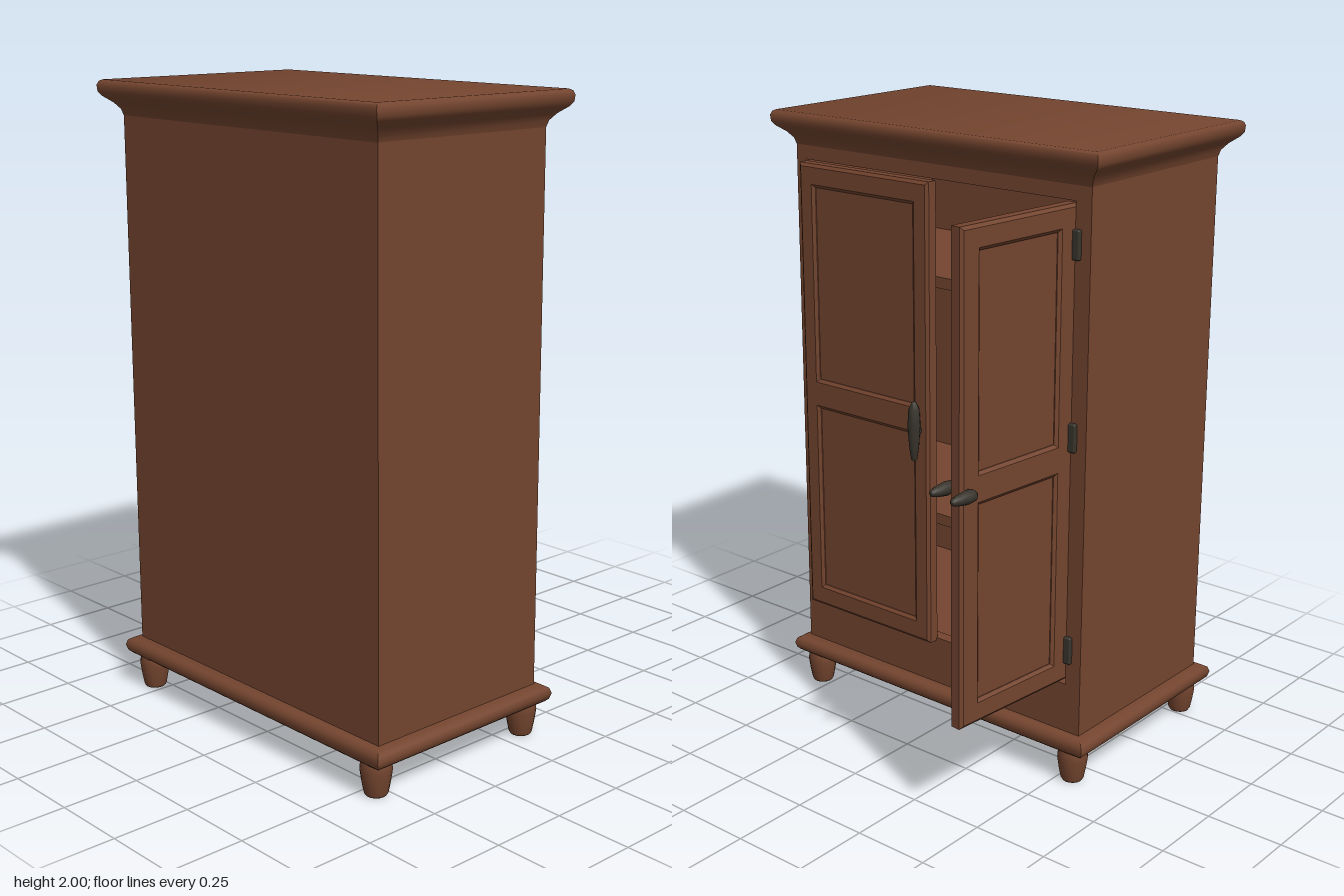
import * as THREE from 'three';
import { toCreasedNormals } from 'three/addons/utils/BufferGeometryUtils.js';
import { RoundedBoxGeometry } from 'three/addons/geometries/RoundedBoxGeometry.js';

const wood = new THREE.MeshStandardMaterial({ color: 0x74452f });
wood.name = 'brown wood';
const iron = new THREE.MeshStandardMaterial({ color: 0x38342c });
iron.name = 'dark iron';

function add(parent, name, geometry, material, x = 0, y = 0, z = 0) {
  const mesh = new THREE.Mesh(geometry, material);
  mesh.name = name;
  mesh.position.set(x, y, z);
  parent.add(mesh);
  return mesh;
}

// Board given by its extents on each axis
function board(parent, name, [x0, x1], [y0, y1], [z0, z1]) {
  return add(parent, name, new THREE.BoxGeometry(x1 - x0, y1 - y0, z1 - z0), wood,
    (x0 + x1) / 2, (y0 + y1) / 2, (z0 + z1) / 2);
}

// Rectangular moulding: profile of [y, outward offset] swept around the cabinet
function moulding(profile) {
  const pos = [], idx = [];
  profile.forEach(([y, o]) => {
    pos.push(-0.56 - o, y, 0.58 + o, 0.10 + o, y, 0.58 + o, 0.10 + o, y, -0.58 - o, -0.56 - o, y, -0.58 - o);
  });
  for (let i = 0; i < profile.length - 1; i++) {
    for (let k = 0; k < 4; k++) {
      const a = i * 4 + k, b = i * 4 + (k + 1) % 4;
      idx.push(a, b, b + 4, a, b + 4, a + 4);
    }
  }
  const t = (profile.length - 1) * 4;
  idx.push(0, 2, 1, 0, 3, 2, t, t + 1, t + 2, t, t + 2, t + 3);
  const g = new THREE.BufferGeometry();
  g.setAttribute('position', new THREE.Float32BufferAttribute(pos, 3));
  g.setIndex(idx);
  return toCreasedNormals(g, 0.75);
}

function rectangle(PathType, x0, x1, y0, y1) {
  return new PathType([[x0, y0], [x1, y0], [x1, y1], [x0, y1]].map(p => new THREE.Vector2(...p)));
}

// Two-panel door, hinged at local x = 0, centred on local z = 0
function door(name, w, y0, y1, stile) {
  const group = new THREE.Group();
  group.name = name;
  const frame = rectangle(THREE.Shape, 0, w, y0, y1);
  const panels = [[y0 + 0.075, 1.03], [1.13, y1 - 0.075]];
  panels.forEach(([a, b]) => frame.holes.push(rectangle(THREE.Path, stile, w - stile, a, b)));
  const bevel = 0.008;
  const g = new THREE.ExtrudeGeometry(frame, {
    depth: 0.048 - 2 * bevel, bevelEnabled: true, bevelThickness: bevel,
    bevelSize: 0.01, bevelOffset: -0.01, bevelSegments: 1
  });
  g.translate(0, 0, bevel - 0.024);
  add(group, 'doorFrame', g, wood);
  panels.forEach(([a, b]) => add(group, 'doorPanel',
    new THREE.BoxGeometry(w - 2 * stile + 0.03, b - a + 0.03, 0.026), wood, w / 2, (a + b) / 2, 0));
  return group;
}

// Tapered grip on a short stem, standing out along local z
function handle(parent, name, x, y, side, length, horizontal) {
  const group = new THREE.Group();
  group.name = name;
  const profile = [[0.001, -0.5], [0.010, -0.46], [0.016, -0.25], [0.021, 0.1], [0.018, 0.36], [0.008, 0.48], [0.001, 0.5]]
    .map(([r, t]) => new THREE.Vector2(r, t * length));
  const grip = add(group, 'grip', new THREE.LatheGeometry(profile, 10), iron, 0, 0, 0.046 * side);
  if (horizontal) {
    grip.rotation.z = Math.PI / 2;
    grip.position.x = 0.035;
  }
  const stem = add(group, 'stem', new THREE.CylinderGeometry(0.012, 0.014, 0.04, 10), iron, 0, 0, 0.03 * side);
  stem.rotation.x = Math.PI / 2;
  group.position.set(x, y, 0);
  parent.add(group);
}

export function createModel() {
  const model = new THREE.Group();
  model.name = 'wardrobe';

  // Carcass
  for (const s of [-1, 1]) {
    board(model, 'sideWall', [-0.56, 0.10], [0.15, 1.92], s < 0 ? [-0.58, -0.54] : [0.54, 0.58]);
  }
  board(model, 'backWall', [-0.56, -0.52], [0.15, 1.92], [-0.54, 0.54]);
  board(model, 'cabinetFloor', [-0.52, 0.08], [0.28, 0.32], [-0.54, 0.54]);
  board(model, 'cabinetCeiling', [-0.52, 0.08], [1.85, 1.89], [-0.54, 0.54]);
  board(model, 'bottomRail', [0.06, 0.10], [0.15, 0.33], [-0.54, 0.54]);
  board(model, 'topRail', [0.06, 0.10], [1.845, 1.92], [-0.54, 0.54]);
  board(model, 'hingeStile', [0.06, 0.10], [0.33, 1.845], [-0.54, -0.525]);

  // Shelves with supporting battens
  for (const y of [0.715, 1.505]) {
    board(model, 'shelf', [-0.52, 0.03], [y - 0.018, y + 0.018], [-0.54, 0.54]);
  }
  board(model, 'shelfBatten', [-0.52, -0.49], [1.44, 1.487], [-0.54, 0.54]);

  // Crown and base mouldings
  add(model, 'crown', moulding([[1.89, 0.0], [1.91, 0.006], [1.93, 0.022], [1.95, 0.047],
    [1.963, 0.056], [1.983, 0.058], [1.995, 0.053], [2.0, 0.044]]), wood);
  add(model, 'base', moulding([[0.11, 0.025], [0.118, 0.034], [0.138, 0.04], [0.155, 0.034],
    [0.165, 0.018], [0.168, 0.0]]), wood);

  // Turned feet
  const foot = new THREE.LatheGeometry([[0, 0], [0.032, 0], [0.037, 0.008], [0.044, 0.045], [0.049, 0.08],
    [0.047, 0.1], [0.042, 0.12]].map(p => new THREE.Vector2(...p)), 16);
  for (const x of [-0.537, 0.08]) {
    for (const z of [-0.545, 0.545]) add(model, 'foot', foot, wood, x, 0, z);
  }

  // Closed door
  const closed = door('closedDoor', 0.54, 0.32, 1.84, 0.065);
  closed.position.set(0.112, 0, 0.54);
  closed.rotation.y = Math.PI / 2;
  handle(closed, 'closedDoorHandle', 0.5, 1.05, 1, 0.2, false);
  model.add(closed);

  // Open door with a lever on each face
  const open = door('openDoor', 0.474, 0.345, 1.838, 0.078);
  open.position.set(0.085, 0, -0.502);
  open.rotation.y = -0.085;
  handle(open, 'innerLever', 0.44, 1.08, 1, 0.1, true);
  handle(open, 'outerLever', 0.45, 1.08, -1, 0.1, true);
  model.add(open);

  // Hinges of the open door
  for (const y of [0.45, 1.14, 1.72]) {
    add(model, 'hinge', new RoundedBoxGeometry(0.03, 0.09, 0.03, 2, 0.006), iron, 0.098, y, -0.532);
  }
  return model;
}
